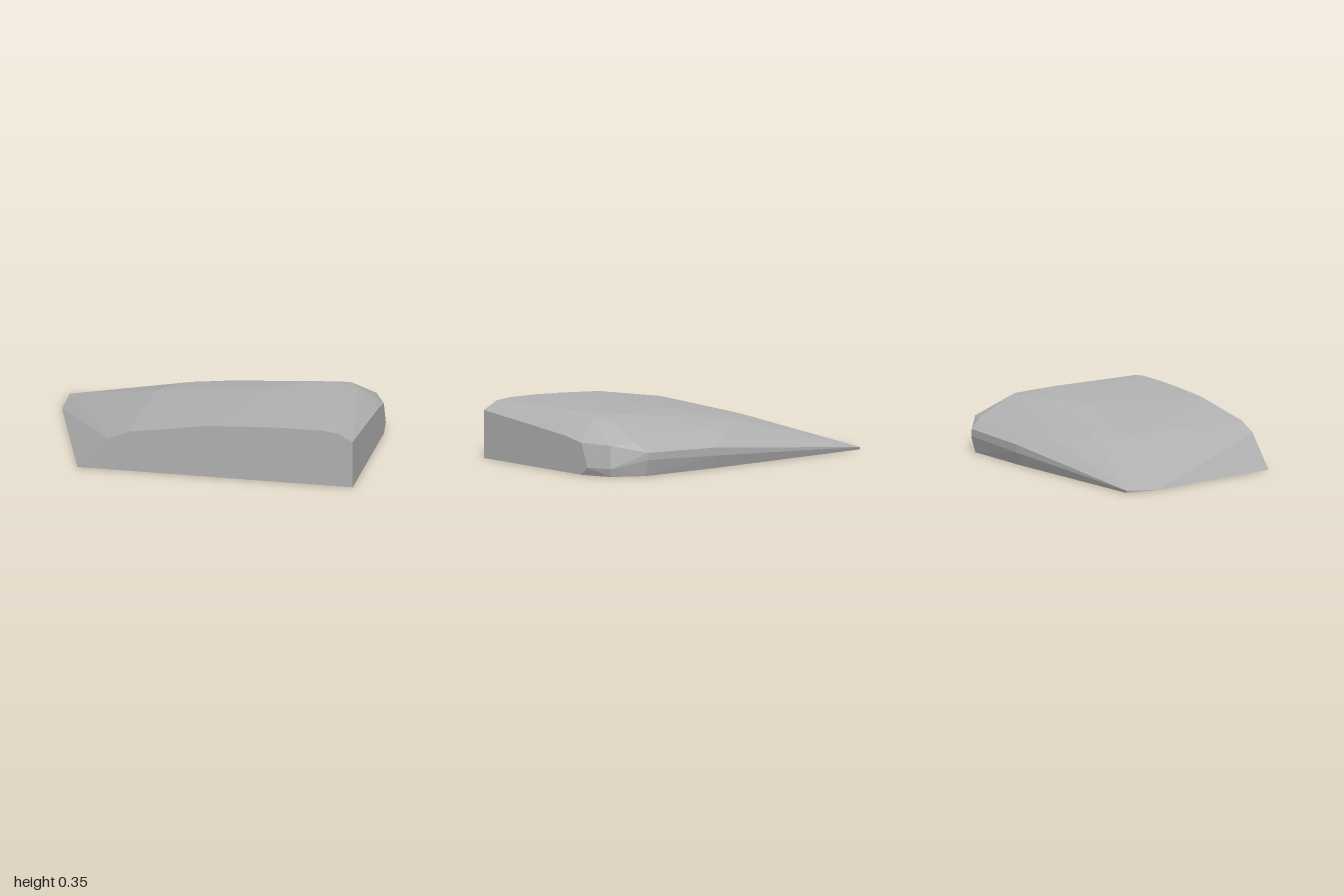
import * as THREE from 'three';
import { ConvexGeometry } from 'three/addons/geometries/ConvexGeometry.js';

const toPoints = (rows) => rows.map(([x, y, z]) => new THREE.Vector3(x, y, z));

export function createModel() {
  const model = new THREE.Group();
  model.name = 'rockSlab';
  const stone = new THREE.MeshStandardMaterial({ color: 0xb0b0b0 });
  stone.name = 'grey stone';

  // Flat front cut, from the thin left end over the crown to the right wall
  const front = [
    [-0.71, 0], [-0.52, 0.2], [-0.39, 0.255], [0.1, 0.33], [0.4, 0.347],
    [0.6, 0.354], [0.8, 0.355], [0.9, 0.345], [1, 0.295], [1, 0],
  ].map(([x, y]) => [x, y, 0.625]);

  // Pointed left end
  const leftTip = [[-1, 0, -0.32], [-1, 0.015, -0.545], [-1, 0, -0.54]];

  // Gently domed top
  const crown = [
    [-0.38, 0.235, -0.15], [-0.2, 0.235, -0.33], [0.28, 0.325, -0.05],
    [0.57, 0.331, -0.25], [0.72, 0.333, -0.25], [0.8, 0.346, 0],
    [0.86, 0.316, -0.24], [0.79, 0.312, -0.33],
  ];

  // Right wall and rounded back right corner
  const rightCorner = [
    [1, 0.225, -0.15], [1, 0.197, -0.31], [1, 0.05, -0.37], [1, 0, -0.31],
    [0.92, 0.19, -0.49], [0.93, 0.05, -0.51], [0.92, 0, -0.5],
  ];

  // Back rim
  const back = [
    [0.77, 0.2, -0.55], [0.73, 0.145, -0.625], [0.73, 0.1, -0.625],
    [0.73, 0, -0.6], [0.2, 0.13, -0.625], [0.18, 0.08, -0.625],
    [0.2, 0, -0.6], [0, 0.195, -0.5],
  ];

  const slab = new THREE.Mesh(
    new ConvexGeometry(toPoints([...front, ...leftTip, ...crown, ...rightCorner, ...back])),
    stone,
  );
  slab.name = 'slab';
  model.add(slab);
  return model;
}
